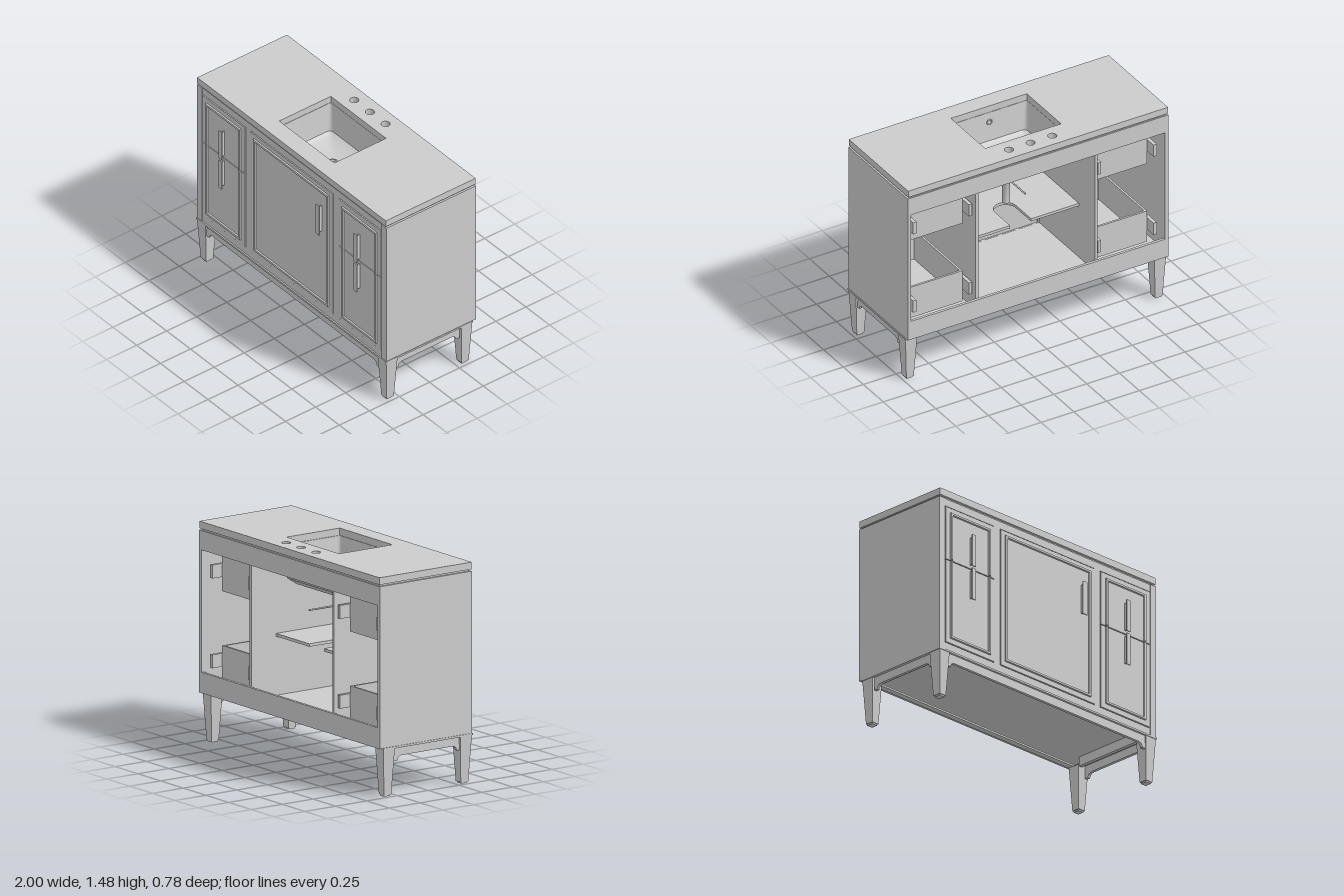
import * as THREE from 'three';
import { toCreasedNormals } from 'three/addons/utils/BufferGeometryUtils.js';

const material = new THREE.MeshStandardMaterial({ color: 0xcccccc, side: THREE.DoubleSide });

export function createModel() {
  const root = new THREE.Group();

  const add = (name, geometry, parent = root) => {
    const mesh = new THREE.Mesh(geometry, material);
    mesh.name = name;
    parent.add(mesh);
    return mesh;
  };
  const group = (name) => {
    const g = new THREE.Group();
    g.name = name;
    root.add(g);
    return g;
  };
  // Box given by its limits on each axis
  const box = (name, x0, x1, y0, y1, z0, z1, parent) => add(name,
    new THREE.BoxGeometry(Math.abs(x1 - x0), y1 - y0, z1 - z0)
      .translate((x0 + x1) / 2, (y0 + y1) / 2, (z0 + z1) / 2), parent);
  const rect = (x0, x1, y0, y1, Type = THREE.Shape) => new Type([
    [x0, y0], [x1, y0], [x1, y1], [x0, y1]].map((p) => new THREE.Vector2(...p)));
  const extrude = (shape, depth, bevel = 0) => new THREE.ExtrudeGeometry(shape, {
    depth, bevelEnabled: bevel > 0, bevelSize: bevel, bevelThickness: bevel, bevelOffset: -bevel,
    bevelSegments: 2, curveSegments: 16 });
  // Horizontal slab: shape y becomes z
  const slab = (name, shape, y0, y1) =>
    add(name, extrude(shape, y1 - y0).rotateX(Math.PI / 2).translate(0, y1, 0));

  // Countertop with basin cut-out and three tap holes
  const top = rect(-0.992, 0.992, -0.39, 0.357);
  top.holes.push(rect(-0.29, 0.29, -0.2, 0.23, THREE.Path));
  for (const x of [-0.165, 0, 0.165]) {
    top.holes.push(new THREE.Path().absarc(x, -0.295, 0.03, 0, Math.PI * 2));
  }
  slab('countertop', top, 1.432, 1.48);
  const spacer = rect(-0.98, 0.98, -0.38, 0.34);
  spacer.holes.push(rect(-0.95, 0.95, -0.36, 0.31, THREE.Path));
  slab('countertopSpacer', spacer, 1.42, 1.432);

  // Basin lofted through rounded rectangles: [half x, half z, y, corner radius]
  const rings = [
    [0.03, 0.03, 1.195, 0.03], [0.24, 0.165, 1.205, 0.03], [0.272, 0.197, 1.225, 0.03],
    [0.29, 0.215, 1.43, 0.012], [0.315, 0.24, 1.43, 0.02], [0.3, 0.225, 1.21, 0.04],
    [0.26, 0.185, 1.175, 0.04], [0.03, 0.03, 1.17, 0.03]];
  const positions = [], index = [], n = 24;
  rings.forEach(([hx, hz, y, r], i) => {
    for (let j = 0; j < n; j++) {
      const corner = Math.floor(j / 6);
      const a = (corner + (j % 6) / 5) * Math.PI / 2;
      const sx = corner === 0 || corner === 3 ? 1 : -1, sz = corner < 2 ? 1 : -1;
      positions.push(sx * (hx - r) + r * Math.cos(a), y, 0.015 + sz * (hz - r) + r * Math.sin(a));
      if (i === 0) continue;
      const k = (j + 1) % n, p = (i - 1) * n, q = i * n;
      index.push(p + j, q + j, p + k, p + k, q + j, q + k);
    }
  });
  const basin = new THREE.BufferGeometry();
  basin.setAttribute('position', new THREE.Float32BufferAttribute(positions, 3));
  basin.setIndex(index);
  add('basin', toCreasedNormals(basin, 0.6));
  add('overflowRing', new THREE.TorusGeometry(0.018, 0.004, 8, 24).translate(0, 1.36, 0.222));

  // Drain, tailpiece and pop-up rod
  const drainProfile = [[0, 1.2], [0.028, 1.2], [0.032, 1.212], [0.045, 1.209], [0.046, 1.2], [0.034, 1.195],
    [0.034, 1.17], [0.06, 1.17], [0.06, 1.145], [0.045, 1.13], [0.045, 1.1], [0.032, 1.09], [0.032, 1.03],
    [0.026, 1.02], [0.026, 0.86], [0, 0.86]].map((p) => new THREE.Vector2(...p));
  add('drain', toCreasedNormals(new THREE.LatheGeometry(drainProfile, 24), 0.6).translate(0, 0, 0.015));
  add('drainRod', new THREE.CylinderGeometry(0.006, 0.006, 0.24, 10).rotateX(Math.PI / 2).translate(0, 1.05, -0.11));

  // Cabinet carcass, open at the back between two rails
  for (const s of [-1, 1]) {
    box('sidePanel', s * 0.97, s * 0.995, 0.33, 1.42, -0.39, 0.34);
    box('frontStile', s * 0.945, s * 0.995, 0.33, 1.42, 0.325, 0.355);
    box('divider', s * 0.445, s * 0.465, 0.385, 1.42, -0.37, 0.33);
  }
  box('backTopRail', -0.97, 0.97, 1.29, 1.42, -0.39, -0.37);
  box('backBottomRail', -0.97, 0.97, 0.33, 0.47, -0.39, -0.37);
  box('cabinetFloor', -0.97, 0.97, 0.365, 0.385, -0.37, 0.33);
  const face = rect(-0.945, 0.945, 0.33, 1.42);
  for (const [a, b] of [[-0.942, -0.488], [-0.435, 0.435], [0.488, 0.942]]) {
    face.holes.push(rect(a, b, 0.386, 1.368, THREE.Path));
  }
  add('faceFrame', extrude(face, 0.022).translate(0, 0, 0.328));

  // Shelf with a slot around the drain
  const shelf = new THREE.Shape();
  shelf.moveTo(-0.445, -0.17).lineTo(-0.08, -0.17).lineTo(-0.08, 0.02);
  shelf.absarc(0, 0.02, 0.08, Math.PI, 0, true);
  shelf.lineTo(0.08, -0.17).lineTo(0.445, -0.17).lineTo(0.445, 0.325).lineTo(-0.445, 0.325);
  slab('shelf', shelf, 0.78, 0.8);

  // T-section pull
  const pull = (x, y0, y1, w, parent) => {
    box('pullBar', x - w / 2, x + w / 2, y0, y1, 0.382, 0.39, parent);
    box('pullStem', x - 0.005, x + 0.005, y0 + 0.015, y1 - 0.015, 0.35, 0.384, parent);
  };

  // Door with applied moulding
  const door = group('door');
  box('doorPanel', -0.43, 0.43, 0.391, 1.363, 0.332, 0.354, door);
  const mould = rect(-0.395, 0.392, 0.425, 1.332);
  mould.holes.push(rect(-0.377, 0.374, 0.443, 1.314, THREE.Path));
  add('doorMoulding', extrude(mould, 0.006, 0.006).translate(0, 0, 0.356), door);
  pull(0.312, 0.985, 1.22, 0.04, door);

  // Drawers: front, three-sided moulding, pull, open box and slides
  // Each row: front bottom, front top, moulding end, pull limits, box bottom and top
  const rows = [
    { name: 'lowerDrawer', y0: 0.391, y1: 0.982, outer: 0.425, seam: 0.982, pull: [0.755, 0.98], box: [0.41, 0.645] },
    { name: 'upperDrawer', y0: 0.988, y1: 1.363, outer: 1.328, seam: 0.988, pull: [0.995, 1.22], box: [1.01, 1.25] }];
  for (const s of [-1, 1]) {
    for (const row of rows) {
      const drawer = group(row.name);
      const cx = s * 0.715, bx = s * 0.705, [b0, b1] = row.box;
      box('drawerFront', cx - 0.223, cx + 0.223, row.y0, row.y1, 0.332, 0.354, drawer);
      const inner = row.outer + Math.sign(row.seam - row.outer) * 0.018;
      const outline = [[-0.183, row.seam], [-0.183, row.outer], [0.183, row.outer], [0.183, row.seam],
        [0.165, row.seam], [0.165, inner], [-0.165, inner], [-0.165, row.seam]];
      add('drawerMoulding', extrude(new THREE.Shape(outline.map((p) => new THREE.Vector2(...p))), 0.006, 0.006)
        .translate(cx, 0, 0.356), drawer);
      pull(s * 0.712, ...row.pull, 0.032, drawer);
      box('drawerBottom', bx - 0.2, bx + 0.2, b0, b0 + 0.015, -0.27, 0.33, drawer);
      box('drawerBack', bx - 0.2, bx + 0.2, b0, b1, -0.27, -0.255, drawer);
      box('drawerInnerFront', bx - 0.2, bx + 0.2, b0, b1, 0.315, 0.332, drawer);
      for (const t of [-1, 1]) {
        box('drawerSide', bx + t * 0.185, bx + t * 0.2, b0, b1, -0.27, 0.33, drawer);
        const yc = (b0 + b1) / 2 + 0.02;
        box('drawerSlide', bx + t * 0.2, bx + t * 0.225, yc - 0.045, yc + 0.045, -0.35, -0.2, drawer);
      }
    }
  }

  // Base trim
  const trim = rect(-1, 1, -0.362, 0.36);
  trim.holes.push(rect(-0.93, 0.93, -0.32, 0.3, THREE.Path));
  slab('baseTrim', trim, 0.32, 0.333);

  // Tapered legs with small glides
  for (const sx of [-1, 1]) {
    for (const [z0, z1] of [[0.262, 0.356], [-0.36, -0.268]]) {
      const leg = new THREE.BoxGeometry(0.09, 0.31, z1 - z0);
      const p = leg.attributes.position;
      for (let i = 0; i < p.count; i++) {
        if (p.getY(i) < 0) p.setXYZ(i, p.getX(i) * 0.62, p.getY(i), p.getZ(i) * 0.64);
      }
      leg.computeVertexNormals();
      const zc = (z0 + z1) / 2;
      add('leg', leg.translate(sx * 0.95, 0.165, zc));
      box('legGlide', sx * 0.928, sx * 0.972, 0, 0.012, zc - 0.024, zc + 0.024);
    }
  }

  // Aprons with stepped, curved ends on the front and sides
  const apron = (a, b) => {
    const sh = new THREE.Shape();
    sh.moveTo(a, 0.322).lineTo(a, 0.23).lineTo(a + 0.028, 0.23);
    sh.quadraticCurveTo(a + 0.032, 0.26, a + 0.065, 0.262);
    sh.lineTo(b - 0.065, 0.262).quadraticCurveTo(b - 0.032, 0.26, b - 0.028, 0.23);
    sh.lineTo(b, 0.23).lineTo(b, 0.322);
    return extrude(sh, 0.02);
  };
  add('frontApron', apron(-0.91, 0.91).translate(0, 0, 0.325));
  for (const s of [-1, 1]) {
    add('sideApron', apron(-0.265, 0.272).rotateY(-Math.PI / 2).translate(s * 0.97 + 0.01, 0, 0));
    box('sideCleat', s * 0.9, s * 0.925, 0.3, 0.366, -0.26, 0.26);
  }
  // Corner blocks behind the front apron
  for (const x of [-0.6, -0.2, 0.2, 0.6]) {
    box('apronBlock', x - 0.06, x + 0.06, 0.3, 0.33, 0.295, 0.326);
  }
  return root;
}
